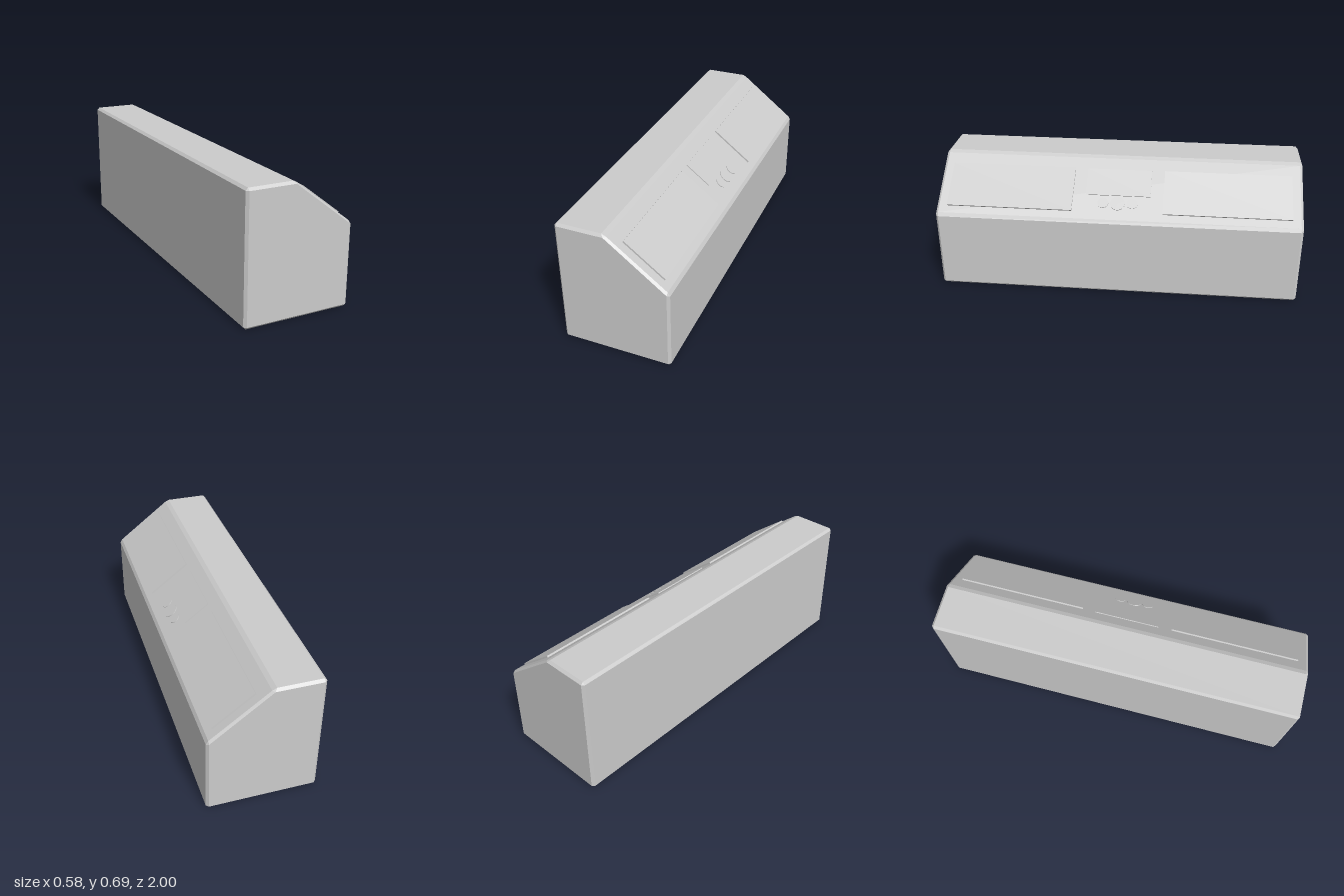
import * as THREE from 'three';
import { ConvexGeometry } from 'three/addons/geometries/ConvexGeometry.js';

export function createModel() {
  const model = new THREE.Group();
  model.name = 'slopedConsole';
  const material = new THREE.MeshStandardMaterial({ color: 0xcccccc, flatShading: true });
  const discMaterial = new THREE.MeshStandardMaterial({ color: 0xcccccc });

  function add(parent, name, geometry, mat = material) {
    const mesh = new THREE.Mesh(geometry, mat);
    mesh.name = name;
    parent.add(mesh);
    return mesh;
  }

  // Long body: chamfered outline, with a smaller inset outline at each end
  const outline = [
    [-0.279, 0], [0.279, 0], [0.292, 0.013], [0.292, 0.43], [0.28, 0.45],
    [-0.022, 0.681], [-0.045, 0.692], [-0.279, 0.692], [-0.292, 0.679], [-0.292, 0.013],
  ];
  const endOutline = [[-0.279, 0.013], [0.279, 0.013], [0.279, 0.438], [-0.033, 0.679], [-0.279, 0.679]];
  const points = [];
  for (const side of [-1, 1]) {
    for (const [x, y] of outline) points.push(new THREE.Vector3(x, y, side * 0.987));
    for (const [x, y] of endOutline) points.push(new THREE.Vector3(x, y, side));
  }
  add(model, 'body', new ConvexGeometry(points));

  // Sloped face: local x runs down the slope, local y points out of it
  const slope = new THREE.Group();
  slope.name = 'slopedFace';
  slope.position.set(0, 0.664, 0);
  slope.rotation.z = -Math.atan(0.765);
  model.add(slope);

  // Two large raised panels
  for (const side of [-1, 1]) {
    add(slope, side > 0 ? 'frontPanel' : 'backPanel', new THREE.BoxGeometry(0.264, 0.009, 0.694))
      .position.set(0.177, 0.0055, side * 0.596);
  }

  // Thin plate between the panels
  add(slope, 'centrePlate', new THREE.BoxGeometry(0.162, 0.006, 0.355)).position.set(0.125, 0.002, 0);

  // Row of three flat buttons
  for (const [z, radius] of [[-0.08, 0.03], [0, 0.041], [0.08, 0.03]]) {
    add(slope, z === 0 ? 'centreButton' : 'sideButton',
      new THREE.CylinderGeometry(radius, radius, 0.005, 32), discMaterial)
      .position.set(0.252, z === 0 ? 0.002 : 0.0015, z);
  }

  return model;
}
